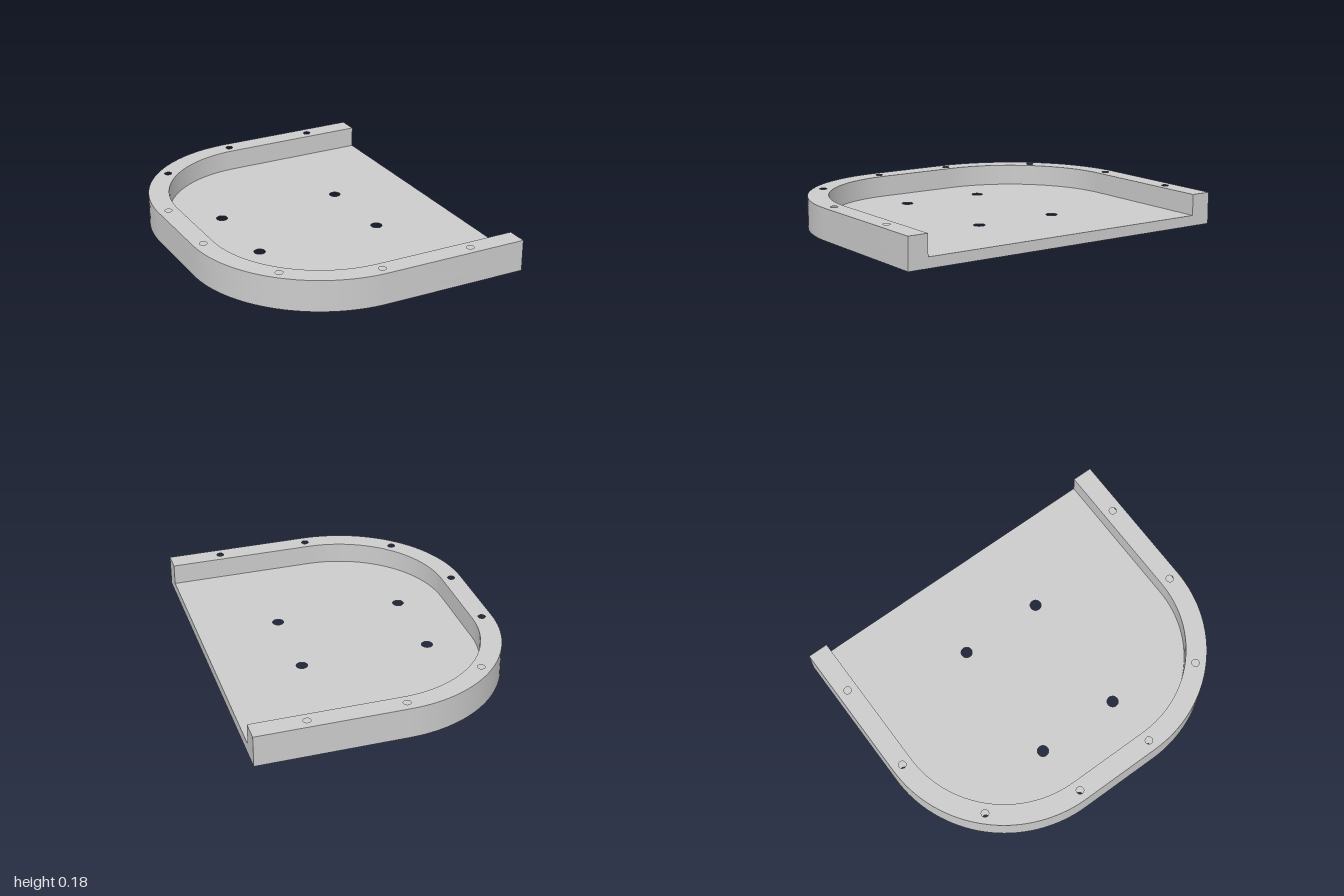
import * as THREE from 'three';
import { toCreasedNormals } from 'three/addons/utils/BufferGeometryUtils.js';

const END_X = 0.8, CX = -0.04, CZ = 0.24; // open end, corner arc centre
const OUTER_R = 0.76, INNER_R = 0.642, MID_R = 0.7;
const FLOOR = 0.06, HEIGHT = 0.18;

// U-shaped run with two rounded corners, from the -z end round to the +z end
function addRun(path, r) {
  path.lineTo(CX, -CZ - r);
  path.absarc(CX, -CZ, r, -Math.PI / 2, -Math.PI, true);
  path.absarc(CX, CZ, r, Math.PI, Math.PI / 2, true);
  path.lineTo(END_X, CZ + r);
}

// The same run in the opposite direction
function addRunBack(path, r) {
  path.lineTo(CX, CZ + r);
  path.absarc(CX, CZ, r, Math.PI / 2, Math.PI, false);
  path.absarc(CX, -CZ, r, -Math.PI, -Math.PI / 2, false);
  path.lineTo(END_X, -CZ - r);
}

// Round holes mirrored across z = 0
function addHoles(shape, centres, r) {
  for (const [x, z] of centres) {
    for (const s of [1, -1]) {
      const hole = new THREE.Path();
      hole.absarc(x, s * z, r, 0, Math.PI * 2, true);
      shape.holes.push(hole);
    }
  }
}

// Upright extrusion of a plan shape between two heights
function slab(name, shape, y0, y1) {
  const geo = new THREE.ExtrudeGeometry(shape, {
    depth: y1 - y0, bevelEnabled: false, curveSegments: 16,
  });
  geo.rotateX(-Math.PI / 2).translate(0, y0, 0);
  const mesh = new THREE.Mesh(
    toCreasedNormals(geo, 0.5),
    new THREE.MeshStandardMaterial({ color: 0xcccccc }),
  );
  mesh.name = name;
  return mesh;
}

export function createModel() {
  const group = new THREE.Group();
  group.name = 'tray';

  // Screw holes follow the middle of the rim
  const d = MID_R * Math.SQRT1_2;
  const rimHoles = [[0.5, CZ + MID_R], [CX, CZ + MID_R], [CX - d, CZ + d], [CX - MID_R, CZ]];
  const floorHoles = [[-0.41, 0.247], [0.327, 0.247]];

  // Floor plate
  const floor = new THREE.Shape();
  floor.moveTo(END_X, -CZ - OUTER_R);
  addRun(floor, OUTER_R);
  floor.closePath();
  addHoles(floor, rimHoles, 0.021);
  addHoles(floor, floorHoles, 0.032);
  group.add(slab('floorPlate', floor, 0, FLOOR));

  // Raised rim, open at the +x end
  const rim = new THREE.Shape();
  rim.moveTo(END_X, -CZ - OUTER_R);
  addRun(rim, OUTER_R);
  rim.lineTo(END_X, CZ + INNER_R);
  addRunBack(rim, INNER_R);
  rim.closePath();
  addHoles(rim, rimHoles, 0.021);
  group.add(slab('rim', rim, FLOOR, HEIGHT));

  return group;
}
